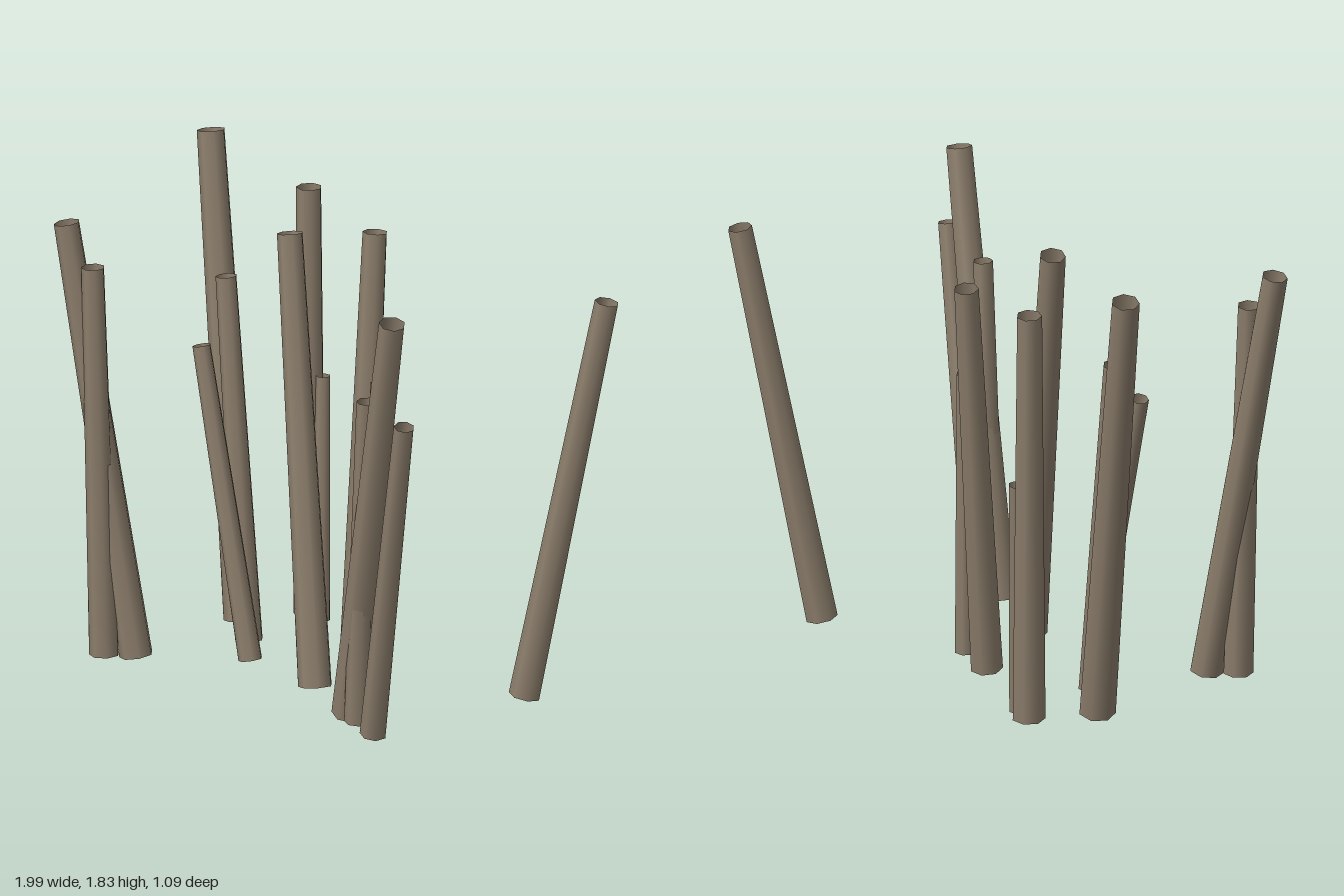
import * as THREE from 'three';

// Each pole: base x, base z, top x, top y, top z
const POLES = [
  [-0.63, -0.24, -0.94, 1.82, -0.42],
  [-0.67, 0.31, -0.95, 1.67, 0.38],
  [-0.765, 0.38, -0.83, 1.52, 0.37],
  [-0.485, -0.455, -0.53, 1.67, -0.50],
  [-0.41, -0.43, -0.443, 0.955, -0.48],
  [-0.465, -0.09, -0.635, 1.39, -0.155],
  [-0.32, 0.07, -0.59, 1.18, 0.035],
  [0.05, 0.13, -0.235, 1.68, -0.055],
  [-0.06, -0.225, -0.115, 1.62, -0.395],
  [0.1, -0.165, 0.1, 1.14, -0.17],
  [0.34, 0.275, 0.7, 1.68, 0.445],
  [0.42, 0.32, 0.5, 1.305, 0.36],
  [0.555, 0.385, 0.815, 1.32, 0.51],
  [0.7, -0.3, 0.95, 1.575, -0.475],
];
const BASE_Y = 0.02;

export function createModel() {
  const group = new THREE.Group();
  group.name = 'leaningPoles';
  const wood = new THREE.MeshStandardMaterial({ color: 0x8b7d6b, side: THREE.DoubleSide });
  wood.name = 'weatheredWood';
  const up = new THREE.Vector3(0, 1, 0);

  // Open, tapered tubes; thickness follows length
  POLES.forEach(([bx, bz, tx, ty, tz], i) => {
    const base = new THREE.Vector3(bx, BASE_Y, bz);
    const top = new THREE.Vector3(tx, ty, tz);
    const axis = top.clone().sub(base);
    const length = axis.length();
    const pole = new THREE.Mesh(
      new THREE.CylinderGeometry(length * 0.029, length * 0.038, length, 7, 1, true), wood);
    pole.name = `pole${i + 1}`;
    pole.quaternion.setFromUnitVectors(up, axis.normalize());
    pole.position.copy(base).add(top).multiplyScalar(0.5);
    group.add(pole);
  });
  return group;
}
